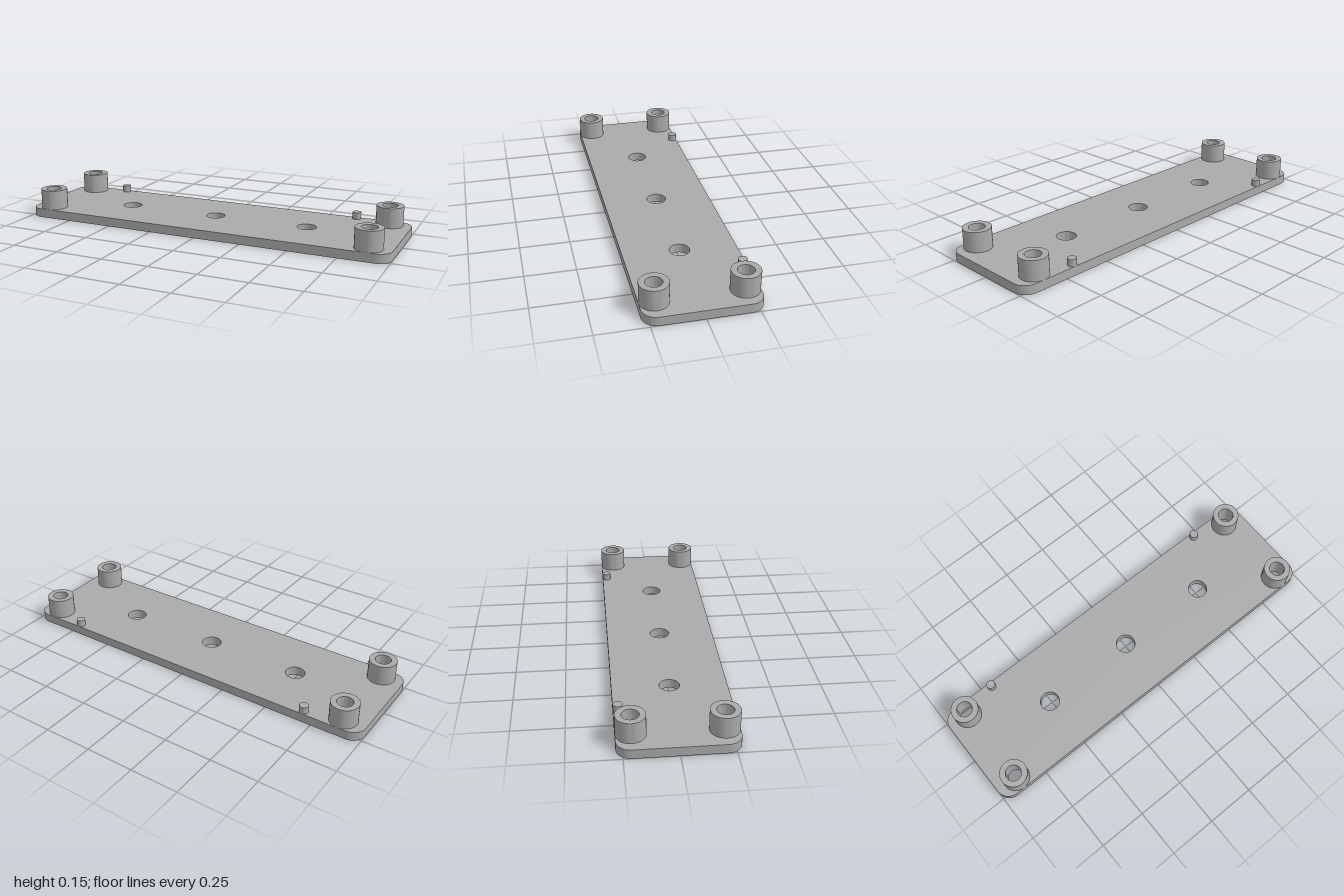
import * as THREE from 'three';
import { toCreasedNormals } from 'three/addons/utils/BufferGeometryUtils.js';

const W = 1, D = 0.28, T = 0.047, R = 0.07; // half width, half depth, thickness, corner radius
const BOSS_X = 0.885, BOSS_Z = 0.21, SINK_R = 0.065;

export function createModel() {
  const group = new THREE.Group();
  const grey = new THREE.MeshStandardMaterial({ color: 0xaaaaaa });
  grey.name = 'plainGrey';

  const add = (name, geometry, x = 0, y = 0, z = 0) => {
    const mesh = new THREE.Mesh(toCreasedNormals(geometry, 0.5), grey);
    mesh.name = name;
    mesh.position.set(x, y, z);
    group.add(mesh);
  };

  // Base plate: rounded rectangle with through holes
  const outline = new THREE.Shape();
  outline.absarc(W - R, D - R, R, 0, Math.PI / 2);
  outline.absarc(-W + R, D - R, R, Math.PI / 2, Math.PI);
  outline.absarc(-W + R, -D + R, R, Math.PI, Math.PI * 1.5);
  outline.absarc(W - R, -D + R, R, Math.PI * 1.5, Math.PI * 2);
  outline.closePath();
  const hole = (x, y, r) =>
    outline.holes.push(new THREE.Path().absarc(x, y, r, 0, Math.PI * 2, true));
  for (const x of [-0.51, 0, 0.51]) hole(x, 0, 0.05);
  for (const x of [-BOSS_X, BOSS_X])
    for (const z of [-BOSS_Z, BOSS_Z]) hole(x, z, SINK_R);
  const plate = new THREE.ExtrudeGeometry(outline, { depth: T, bevelEnabled: false, curveSegments: 24 });
  plate.rotateX(-Math.PI / 2);
  add('basePlate', plate);

  // Hollow corner bosses, countersunk from below
  const profile = [[0.07, T], [0.07, 0.152], [0.04, 0.152], [0.04, 0.03], [SINK_R, 0]]
    .map(([r, y]) => new THREE.Vector2(r, y));
  for (const x of [-BOSS_X, BOSS_X])
    for (const z of [-BOSS_Z, BOSS_Z])
      add(`${z > 0 ? 'front' : 'back'}${x > 0 ? 'Left' : 'Right'}Boss`,
        new THREE.LatheGeometry(profile, 48), x, 0, z);

  // Small locating pins along the back edge
  for (const x of [-0.7, 0.7])
    add(x > 0 ? 'leftPin' : 'rightPin',
      new THREE.CylinderGeometry(0.023, 0.023, 0.046, 32), x, 0.06, -0.257);

  return group;
}
